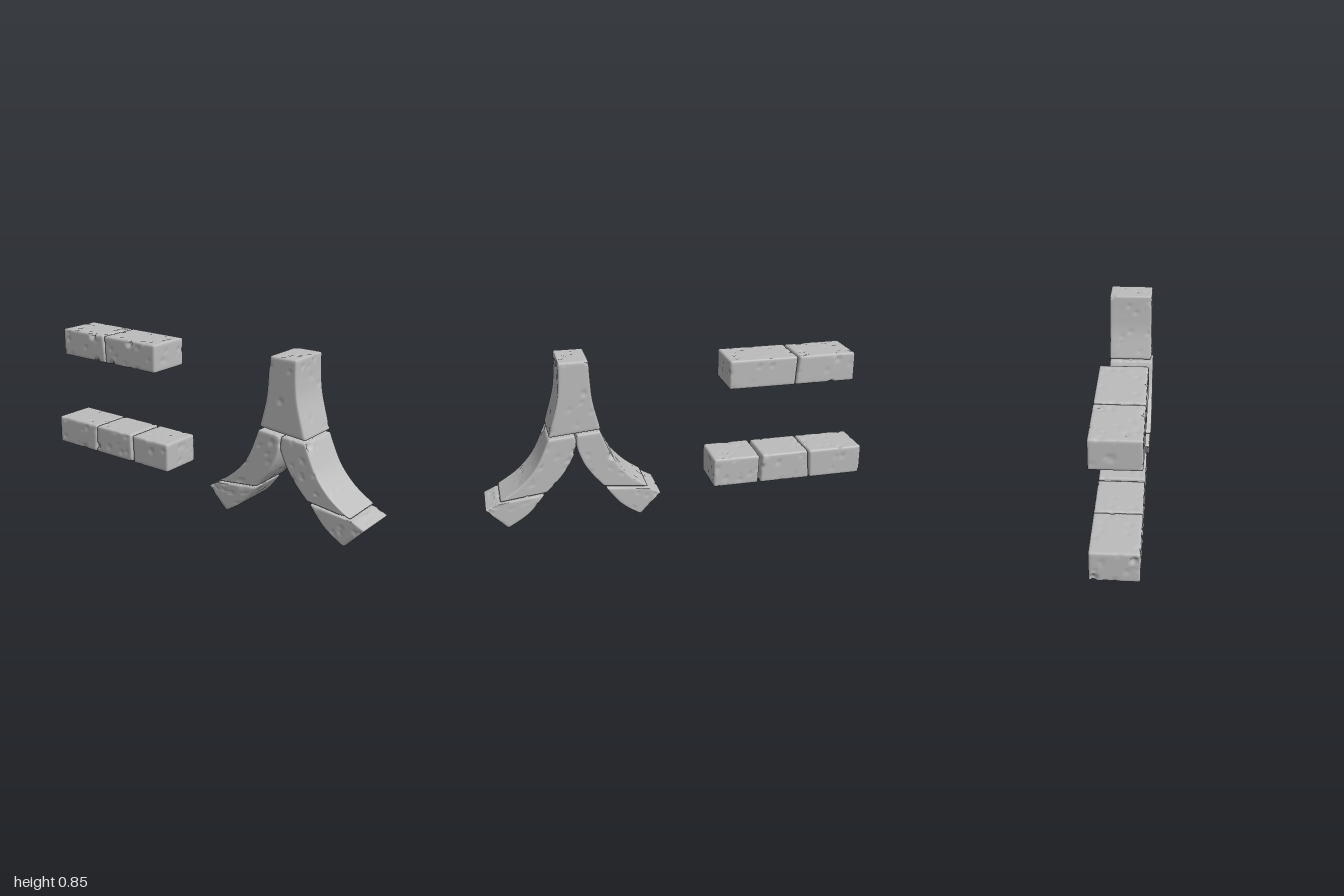
import * as THREE from 'three';
import { mergeVertices } from 'three/addons/utils/BufferGeometryUtils.js';

const STEP = 0.0095;   // surface grid spacing
const EDGE = 0.008;    // rounding of the worn edges

function seeded(seed) {
  let s = seed;
  return () => (s = (s * 16807) % 2147483647) / 2147483647;
}

const spline = (pts) => new THREE.SplineCurve(pts.map(([x, y]) => new THREE.Vector2(x, y)));

// Rounded stone whose left and right sides follow two curves (listed top to bottom)
function stoneGeometry(leftPts, rightPts, zBack, zFront, chips, seed) {
  const left = spline(leftPts), right = spline(rightPts);
  const h = (left.getLength() + right.getLength()) / 2;
  const w = (left.getPoint(0).distanceTo(right.getPoint(0)) + left.getPoint(1).distanceTo(right.getPoint(1))) / 2;
  const d = zFront - zBack;
  const n = (len) => Math.round(len / STEP);
  let geo = new THREE.BoxGeometry(w, h, d, n(w), n(h), n(d));
  geo.deleteAttribute('normal');
  geo.deleteAttribute('uv');
  geo = mergeVertices(geo, 1e-5);

  // round the edges, then bend the block between the two side curves
  const pos = geo.attributes.position;
  const p = new THREE.Vector3(), core = new THREE.Vector3(), a = new THREE.Vector2(), b = new THREE.Vector2();
  const half = new THREE.Vector3(w / 2 - EDGE, h / 2 - EDGE, d / 2 - EDGE);
  const negHalf = half.clone().negate();
  for (let i = 0; i < pos.count; i++) {
    p.fromBufferAttribute(pos, i);
    core.copy(p).clamp(negHalf, half);
    p.sub(core).setLength(EDGE).add(core);
    const u = THREE.MathUtils.clamp(p.x / w + 0.5, 0, 1);
    const v = THREE.MathUtils.clamp(0.5 - p.y / h, 0, 1);
    left.getPointAt(v, a);
    right.getPointAt(v, b);
    a.lerp(b, u);
    pos.setXYZ(i, a.x, a.y, p.z + (zFront + zBack) / 2);
  }
  geo.computeVertexNormals();

  // small random pits plus the larger chips: [x, y, z, radius, depth]
  const rand = seeded(seed);
  const pits = chips.map(([x, y, z, r]) => [x, y, z, r, r * 0.75]);
  for (let k = 0; k < 45; k++) {
    p.fromBufferAttribute(pos, Math.floor(rand() * pos.count));
    pits.push([p.x, p.y, p.z, 0.009 + rand() * 0.007, 0.002 + rand() * 0.003]);
  }
  const src = pos.clone(), normal = new THREE.Vector3();
  for (let i = 0; i < pos.count; i++) {
    p.fromBufferAttribute(src, i);
    let sink = 0;
    for (const [x, y, z, r, depth] of pits) {
      const q = ((p.x - x) ** 2 + (p.y - y) ** 2 + (p.z - z) ** 2) / (r * r);
      if (q < 1) sink = Math.max(sink, depth * Math.sqrt(1 - q));
    }
    if (sink > 0) {
      p.addScaledVector(normal.fromBufferAttribute(geo.attributes.normal, i), -sink);
      pos.setXYZ(i, p.x, p.y, p.z);
    }
  }
  geo.computeVertexNormals();
  return geo;
}

export function createModel() {
  const model = new THREE.Group();
  model.name = 'stoneBlocks';
  const stone = new THREE.MeshStandardMaterial({ color: 0xbcbcbc });
  stone.name = 'stone grey';
  let seed = 101;

  function addStone(parent, name, left, right, chips = [], zBack = -0.12, zFront = 0.11) {
    seed += 7919;
    const mesh = new THREE.Mesh(stoneGeometry(left, right, zBack, zFront, chips, seed), stone);
    mesh.name = name;
    parent.add(mesh);
  }
  function addGroup(name) {
    const group = new THREE.Group();
    group.name = name;
    model.add(group);
    return group;
  }

  // straight beams, each stone given as [top left, bottom left, top right, bottom right] x values
  function addBeam(name, yTop, yBottom, stones, zFront) {
    const beam = addGroup(name);
    stones.forEach(([tl, bl, tr, br, chips], i) => addStone(beam, `${name}Stone${i + 1}`,
      [[tl, yTop], [bl, yBottom]], [[tr, yTop], [br, yBottom]], chips, -0.12, zFront));
  }
  addBeam('upperBeam', 0.795, 0.645, [
    [-0.925, -0.925, -0.624, -0.607, [[-0.70, 0.785, 0.115, 0.022], [-0.675, 0.648, 0.11, 0.02], [-0.8, 0.645, -0.11, 0.014]]],
    [-0.614, -0.604, -0.255, -0.255, [[-0.43, 0.78, 0.115, 0.02], [-0.56, 0.648, 0.11, 0.02], [-0.5, 0.645, -0.04, 0.016], [-0.68, 0.79, -0.12, 0.02]]],
  ], 0.116);
  addBeam('lowerBeam', 0.265, 0.11, [
    [-1, -1, -0.704, -0.714, [[-1, 0.23, 0.08, 0.018], [-1, 0.125, -0.1, 0.02], [-0.88, 0.11, 0.03, 0.015], [-0.88, 0.11, -0.05, 0.015]]],
    [-0.698, -0.708, -0.445, -0.436, [[-0.695, 0.145, 0.11, 0.018], [-0.44, 0.2, -0.12, 0.016]]],
    [-0.429, -0.423, -0.18, -0.18, [[-0.3, 0.11, -0.05, 0.016]]],
  ], 0.11);

  // forked arch: trunk, two curved legs and two feet
  const arch = addGroup('forkedArch');
  addStone(arch, 'trunk',
    [[0.455, 0.85], [0.45, 0.74], [0.44, 0.636], [0.406, 0.493]],
    [[0.604, 0.85], [0.607, 0.74], [0.621, 0.636], [0.668, 0.471]],
    [[0.46, 0.85, -0.11, 0.016]]);
  addStone(arch, 'rightLeg',
    [[0.409, 0.482], [0.345, 0.326], [0.264, 0.226], [0.168, 0.155]],
    [[0.527, 0.473], [0.527, 0.396], [0.484, 0.289], [0.402, 0.182]],
    [[0.355, 0.345, -0.12, 0.018]], -0.12, 0.121);
  addStone(arch, 'rightFoot',
    [[0.163, 0.144], [0.104, 0.112]],
    [[0.393, 0.172], [0.313, 0.07], [0.214, 0]], [], -0.12, 0.115);
  addStone(arch, 'leftLeg',
    [[0.536, 0.471], [0.533, 0.396], [0.596, 0.278], [0.687, 0.178]],
    [[0.668, 0.461], [0.735, 0.32], [0.82, 0.222], [0.928, 0.15]],
    [[0.675, 0.445, 0.085, 0.02], [0.54, 0.39, -0.11, 0.018]], -0.12, 0.113);
  addStone(arch, 'leftFoot',
    [[0.698, 0.168], [0.783, 0.07], [0.893, 0]],
    [[0.938, 0.139], [1, 0.112]],
    [[0.955, 0.068, 0.035, 0.022]]);

  return model;
}
